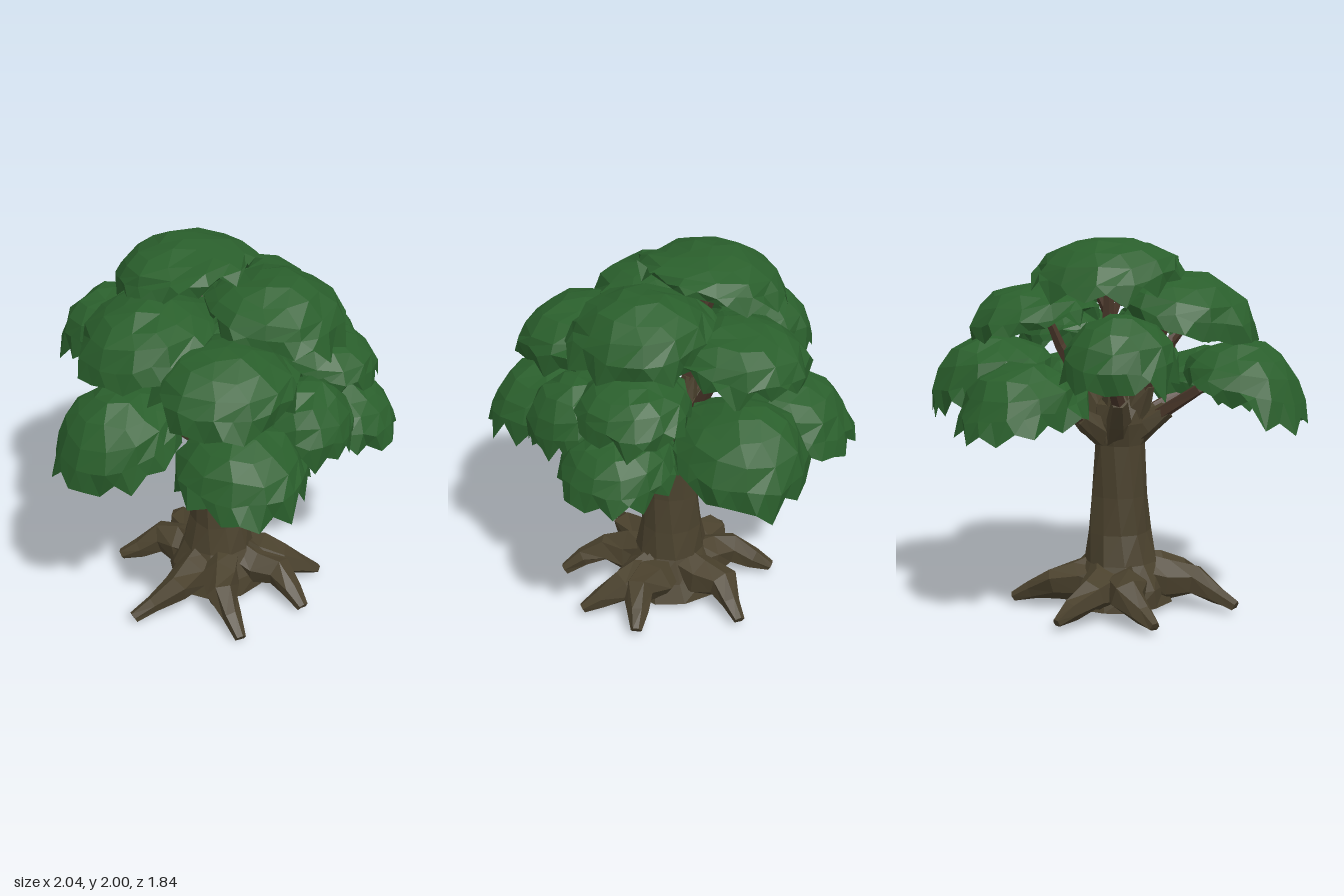
import * as THREE from 'three';

const foliageGreen = new THREE.MeshStandardMaterial({ color: 0x2a5f2c, flatShading: true, side: THREE.DoubleSide });
const barkBrown = new THREE.MeshStandardMaterial({ color: 0x4a412d, flatShading: true });
const branchBrown = new THREE.MeshStandardMaterial({ color: 0x4a372a, flatShading: true });
foliageGreen.name = 'foliageGreen';
barkBrown.name = 'barkBrown';
branchBrown.name = 'branchBrown';

// Seeded noise in -1..1
let seed = 7;
function rnd() {
  seed = (seed * 16807) % 2147483647;
  return (seed / 2147483647) * 2 - 1;
}

// Skins equal-length rings of points, from the lowest ring upward
function loft(rings) {
  const n = rings[0].length;
  const index = [];
  for (let i = 0; i < rings.length - 1; i++) {
    for (let j = 0; j < n; j++) {
      const a = i * n + j, b = i * n + (j + 1) % n;
      index.push(a, a + n, b, b, a + n, b + n);
    }
  }
  const geo = new THREE.BufferGeometry().setFromPoints(rings.flat());
  geo.setIndex(index);
  const flat = geo.toNonIndexed();
  flat.computeVertexNormals();
  return flat;
}

// One ring of points, each placed by a rule
function ring(count, place) {
  return Array.from({ length: count }, (_, j) => place(j));
}

// Knobbly tapered limb along a few points, closed at both ends
function limb(points, radii, sides, floor = -1) {
  const last = points.length - 1;
  const rings = points.map((p, i) => {
    const t = points[Math.min(i + 1, last)].clone().sub(points[Math.max(i - 1, 0)]).normalize();
    const u = new THREE.Vector3(0.31, 0.1, 0.95).cross(t).normalize();
    const v = u.clone().cross(t);
    return ring(sides, j => {
      const a = (j / sides) * Math.PI * 2;
      const r = radii[i] * (1 + 0.17 * rnd());
      const q = p.clone().addScaledVector(u, Math.cos(a) * r).addScaledVector(v, Math.sin(a) * r);
      q.y = Math.max(q.y, floor);
      return q;
    });
  });
  return loft([ring(sides, () => points[0]), ...rings, ring(sides, () => points[last])]);
}

// Jagged dome of leaves; tilt makes the outer side hang lower
function leafDome([x, z, r, top, drop, tilt]) {
  const n = 24;
  const len = Math.hypot(x, z);
  // Ring radius, ring drop, and how many points share one corner
  const profile = [[0.98, 1.0, 1], [0.95, 0.72, 1], [0.84, 0.46, 2], [0.62, 0.23, 2], [0.33, 0.06, 4], [0, 0, 4]];
  const rings = profile.map(([pr, pd, share], k) => {
    const noise = ring(n, () => [rnd(), rnd()]);
    return ring(n, i => {
      const j = Math.floor(i / share) * share;
      const [wide, low] = noise[j];
      const a = ((j + share / 2 + (k % 2) * 0.5) / n) * Math.PI * 2;
      const rim = k === 0;
      const rr = r * pr * (1 + (rim ? 0.1 : 0.05) * wide);
      const dx = Math.cos(a) * rr, dz = Math.sin(a) * rr;
      const side = (dx * x + dz * z) / (len * r);
      let d = pd * (drop + tilt * side);
      if (rim) d += 0.035 * low + (j % 2 ? 0.02 : -0.03);
      else if (pr > 0) d += 0.015 * low;
      return new THREE.Vector3(x + dx, top - Math.max(d, 0), z + dz);
    });
  });
  return loft(rings);
}

export function createModel() {
  const tree = new THREE.Group();
  tree.name = 'tree';
  const add = (name, geo, mat, parent) => {
    const mesh = new THREE.Mesh(geo, mat);
    mesh.name = name;
    parent.add(mesh);
  };
  const group = name => {
    const g = new THREE.Group();
    g.name = name;
    tree.add(g);
    return g;
  };

  // Trunk: [height, radius], flared at the foot and fork
  const trunkProfile = [[0.03, 0], [0.03, 0.28], [0.13, 0.25], [0.26, 0.195], [0.42, 0.165],
    [0.62, 0.15], [0.9, 0.136], [1.02, 0.165], [1.12, 0.14], [1.24, 0]];
  const trunkRings = trunkProfile.map(([y, r]) => ring(11, j => {
    const a = ((j + y) / 11) * Math.PI * 2;
    const q = r * (1 + 0.07 * rnd());
    return new THREE.Vector3(-0.01 + Math.cos(a) * q, y, Math.sin(a) * q);
  }));
  add('trunk', loft(trunkRings), barkBrown, tree);

  // Roots: tip x, z and height, with a sideways kink halfway
  const roots = group('roots');
  const rootTips = [[0.52, -0.23, 0.04], [0.44, 0.33, 0.04], [0.16, 0.56, 0.04], [-0.26, 0.56, 0.02],
    [-0.65, 0.1, 0.04], [-0.4, -0.42, 0.04], [0.09, -0.57, 0.04]];
  rootTips.forEach(([x, z, tipY], i) => {
    const kink = i % 2 ? 0.12 : -0.12;
    const at = (f, y, k) => new THREE.Vector3(x * f - z * k, y, z * f + x * k);
    const path = [at(0.15, 0.18, 0), at(0.4, 0.145, kink * 0.5), at(0.62, 0.145, kink),
      at(0.82, 0.09, kink * 0.4), at(0.99, tipY, 0)];
    add('root', limb(path, [0.11, 0.115, 0.085, 0.055, 0.03], 6, tipY < 0.03 ? 0 : 0.025), barkBrown, roots);
  });

  // Leaf domes: x, z, radius, top, drop to the rim, tilt
  const domes = [
    [-0.06, -0.24, 0.38, 2.0, 0.2, 0.1],
    [0.19, 0.21, 0.37, 1.9, 0.24, 0.07],
    [-0.4, -0.06, 0.37, 1.83, 0.24, 0.11],
    [0.36, -0.26, 0.35, 1.76, 0.22, 0.07],
    [-0.24, 0.39, 0.37, 1.72, 0.25, 0.06],
    [0.42, 0.32, 0.3, 1.58, 0.2, 0.07],
    [-0.28, -0.58, 0.29, 1.65, 0.26, 0.1],
    [-0.68, 0.09, 0.33, 1.47, 0.29, 0.13],
    [0.67, -0.16, 0.34, 1.47, 0.31, 0.13],
    [-0.27, 0.57, 0.34, 1.37, 0.3, 0.06],
    [0.13, 0.53, 0.28, 1.47, 0.28, 0.07],
    [0.28, -0.56, 0.34, 1.38, 0.28, 0.09],
    [0.48, 0.41, 0.3, 1.33, 0.24, 0.08]
  ];
  const foliage = group('foliage');
  const limbs = group('limbs');
  const branches = group('branches');
  domes.forEach(dome => {
    const [x, z, , top, drop] = dome;
    add('leafDome', leafDome(dome), foliageGreen, foliage);

    // Limb from the fork, then a thinner branch up under the dome
    const len = Math.hypot(x, z);
    const end = new THREE.Vector3(x * 0.95, top - drop * 0.3, z * 0.95);
    const foot = new THREE.Vector3(x / len * 0.05, 0.93, z / len * 0.05);
    const elbow = foot.clone().lerp(end, 0.36);
    const knee = elbow.clone().lerp(end, 0.5);
    knee.x -= z * 0.08;
    knee.z += x * 0.08;
    knee.y -= 0.025;
    const middle = foot.clone().lerp(elbow, 0.5);
    add('limb', limb([foot, middle, elbow], [0.085, 0.07, 0.045], 6), barkBrown, limbs);
    const start = elbow.clone().lerp(foot, 0.15);
    add('branch', limb([start, knee, end], [0.042, 0.03, 0.013], 5), branchBrown, branches);

    // Side twig
    const twigTip = end.clone();
    twigTip.x -= z / len * 0.16;
    twigTip.z += x / len * 0.16;
    twigTip.y -= drop * 0.1;
    add('twig', limb([knee, twigTip], [0.02, 0.009], 4), branchBrown, branches);
  });

  return tree;
}
